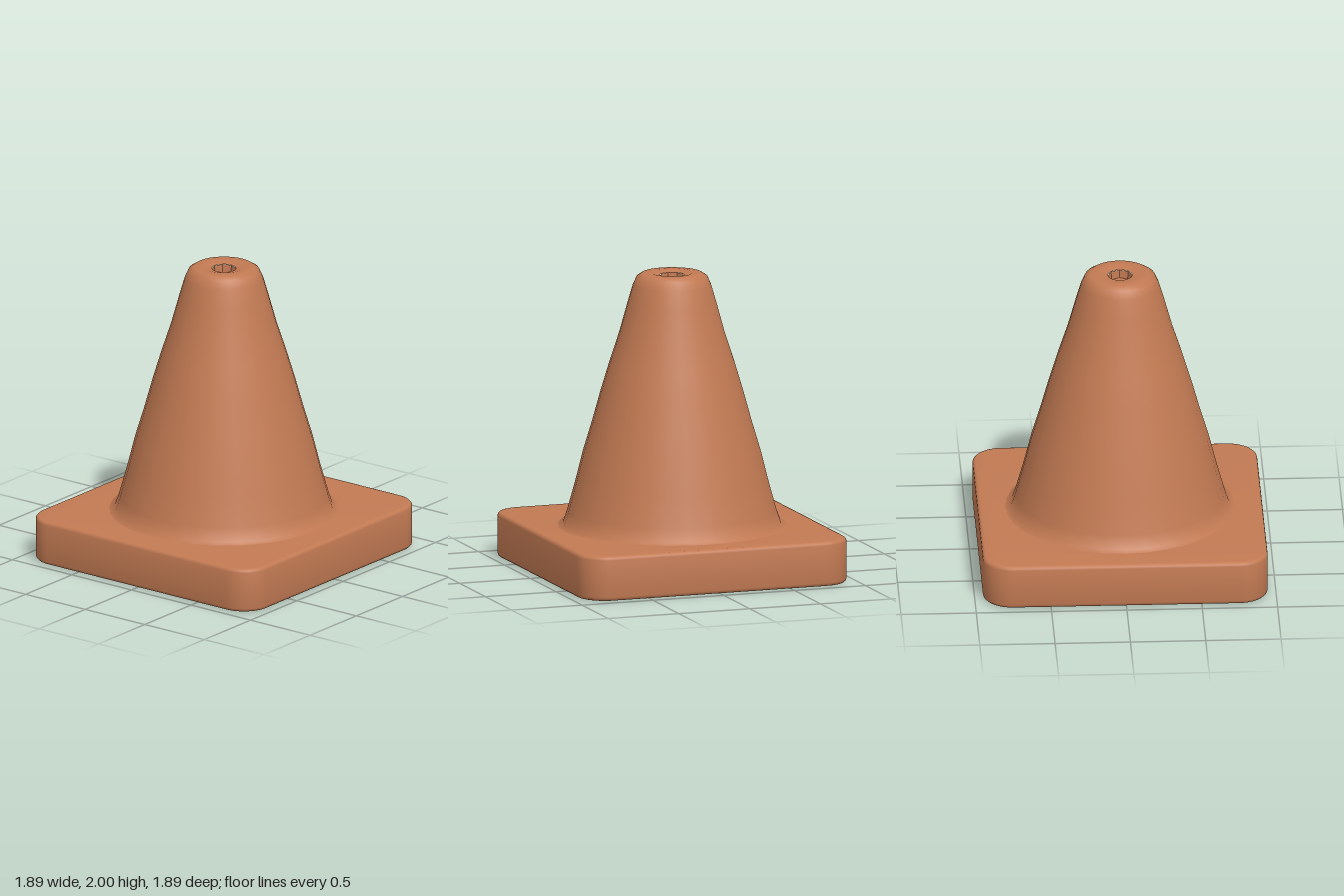
import * as THREE from 'three';
import { toCreasedNormals } from 'three/addons/utils/BufferGeometryUtils.js';

export function createModel() {
  const group = new THREE.Group();
  group.name = 'trafficCone';
  const orange = new THREE.MeshStandardMaterial({ color: 0xc27a53 });
  orange.name = 'faded orange';

  const add = (name, geometry) => {
    const mesh = new THREE.Mesh(geometry, orange);
    mesh.name = name;
    group.add(mesh);
    return mesh;
  };
  const lathe = (points, sides) =>
    new THREE.LatheGeometry(points.map(([r, y]) => new THREE.Vector2(r, y)), sides);

  // Square foot with rounded corners and softened edges
  const bevel = 0.025, h = 0.945 - bevel, r = 0.17;
  const square = new THREE.Shape();
  square.moveTo(h, -h + r);
  for (let i = 0; i < 4; i++) {
    const a = i * Math.PI / 2, c = Math.cos(a), s = Math.sin(a);
    const turn = (x, y) => [x * c - y * s, x * s + y * c];
    square.lineTo(...turn(h, h - r));
    square.absarc(...turn(h - r, h - r), r, a, a + Math.PI / 2, false);
  }
  const foot = new THREE.ExtrudeGeometry(square, {
    depth: 0.3 - 2 * bevel, bevelThickness: bevel, bevelSize: bevel,
    bevelSegments: 3, curveSegments: 6,
  });
  foot.rotateX(-Math.PI / 2).translate(0, bevel, 0);
  add('base', toCreasedNormals(foot, 0.7));

  // Slightly bulging body, flared at the foot and rounded at the rim
  add('coneBody', lathe([
    [0.78, 0.295], [0.725, 0.31], [0.695, 0.4], [0.64, 0.6], [0.59, 0.8], [0.53, 1.0],
    [0.475, 1.2], [0.415, 1.4], [0.35, 1.6], [0.295, 1.8], [0.26, 1.92],
    [0.235, 1.975], [0.2, 1.997], [0.14, 2.0], [0.08, 1.985],
  ], 32));

  // Shallow hole in the tip
  add('tipHole', toCreasedNormals(lathe([[0.08, 1.985], [0.075, 1.93], [0, 1.93]], 8), 0.6));

  return group;
}
